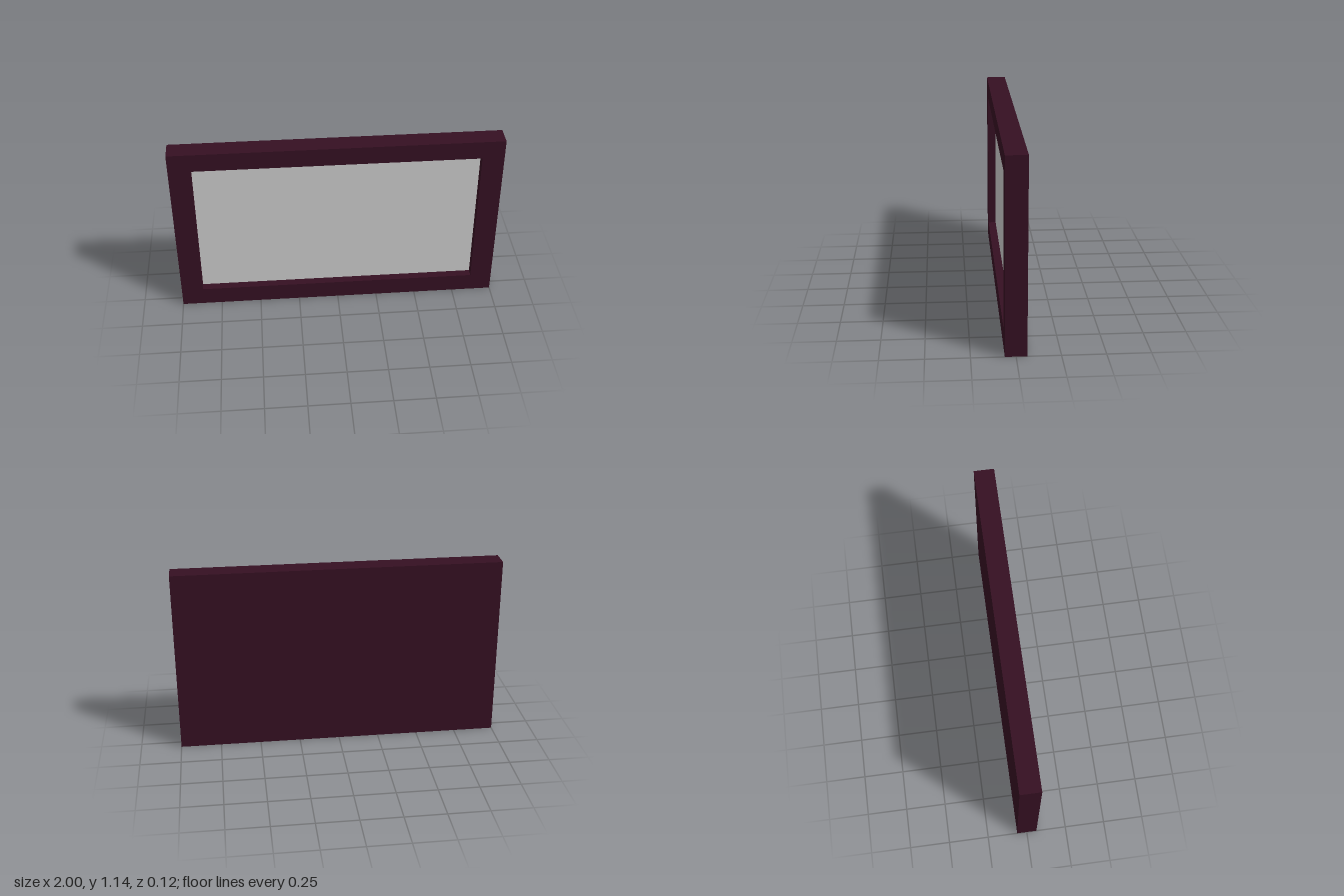
import * as THREE from 'three';

const W = 2, H = 1.145, D = 0.124;             // outer size of the frame
const OW = 1.732, OY0 = 0.117, OY1 = 1.03;     // opening in the frame
const RECESS = 0.05;                           // how far the panel sits back

const dark = new THREE.MeshStandardMaterial({ color: 0x351022 });
const grey = new THREE.MeshStandardMaterial({ color: 0xcccccc });

// Counter-clockwise rectangle corners
function rect(w, y0, y1) {
  return [[-w / 2, y0], [w / 2, y0], [w / 2, y1], [-w / 2, y1]]
    .map(([x, y]) => new THREE.Vector2(x, y));
}

function addMesh(group, name, geometry, material) {
  const mesh = new THREE.Mesh(geometry, material);
  mesh.name = name;
  group.add(mesh);
  return mesh;
}

export function createModel() {
  const group = new THREE.Group();
  group.name = 'framedPanel';

  // Rectangular border with a sharp-edged opening
  const border = new THREE.Shape(rect(W, 0, H));
  border.holes.push(new THREE.Path(rect(OW, OY0, OY1)));
  const frame = new THREE.ExtrudeGeometry(border, { depth: D, bevelEnabled: false });
  frame.translate(0, 0, -D / 2);
  addMesh(group, 'frame', frame, dark);

  // Recessed front panel
  const opening = new THREE.ShapeGeometry(new THREE.Shape(rect(OW, OY0, OY1)));
  addMesh(group, 'panel', opening, grey).position.z = D / 2 - RECESS;

  // Back cover, flush with the rear of the frame
  const back = addMesh(group, 'backCover', opening.clone().rotateY(Math.PI), dark);
  back.position.z = -D / 2;

  return group;
}
